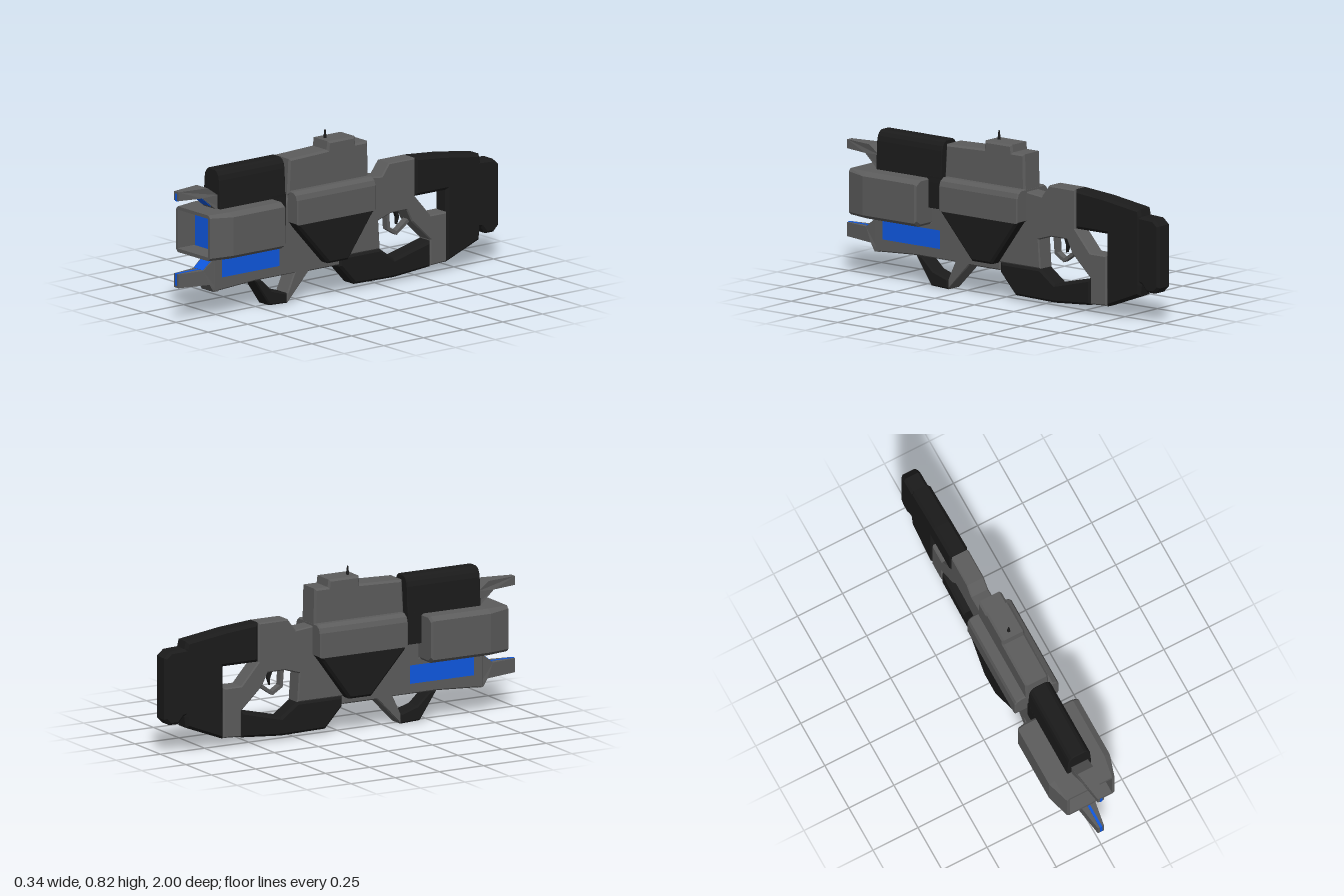
import * as THREE from 'three';

const mat = (color) => new THREE.MeshStandardMaterial({ color, flatShading: true });
const GREY = mat(0x5c5c5c), BLACK = mat(0x1b1b1b), BLUE = mat(0x0f58e0);

// Polygon from [a, b] pairs
const poly = (pts, Type = THREE.Shape) => new Type(pts.map(([a, b]) => new THREE.Vector2(a, b)));

// Side profile of [z, y] points, extruded across x from x0 to x1 with a bevel
function slab(pts, x0, x1, bevel = 0, holes = []) {
  const shape = poly(pts);
  shape.holes = holes.map((h) => poly(h, THREE.Path));
  const g = new THREE.ExtrudeGeometry(shape, {
    depth: x1 - x0 - 2 * bevel, bevelEnabled: bevel > 0, bevelSegments: 1,
    bevelSize: bevel, bevelThickness: bevel, bevelOffset: -bevel,
  });
  g.translate(0, 0, bevel - x1);
  return g.rotateY(-Math.PI / 2);
}

// Front section of [x, y] points, extruded along z
function run(pts, z0, z1, bevel = 0) {
  const g = new THREE.ExtrudeGeometry(poly(pts), {
    depth: z1 - z0 - 2 * bevel, bevelEnabled: bevel > 0, bevelSegments: 1,
    bevelSize: bevel, bevelThickness: bevel, bevelOffset: -bevel,
  });
  return g.translate(0, 0, z0 + bevel);
}

// Skin over chamfered rectangles: [z, halfWidth, yMin, yMax, chamferX, chamferY]
function loft(sections) {
  const rings = sections.map(([z, w, a, b, cx, cy]) => [
    [w, a + cy, z], [w, b - cy, z], [w - cx, b, z], [cx - w, b, z],
    [-w, b - cy, z], [-w, a + cy, z], [cx - w, a, z], [w - cx, a, z]]);
  const pos = [];
  for (let s = 0; s + 1 < rings.length; s++) {
    for (let i = 0; i < 8; i++) {
      const j = (i + 1) % 8, [p, q] = [rings[s], rings[s + 1]];
      pos.push(...p[i], ...p[j], ...q[j], ...p[i], ...q[j], ...q[i]);
    }
  }
  const g = new THREE.BufferGeometry();
  g.setAttribute('position', new THREE.Float32BufferAttribute(pos, 3));
  g.computeVertexNormals();
  return g;
}

// Narrow a part in x towards the muzzle
function taper(g) {
  const p = g.attributes.position;
  for (let i = 0; i < p.count; i++) {
    const t = THREE.MathUtils.clamp((p.getZ(i) - 0.82) / 0.18, 0, 1);
    p.setX(i, p.getX(i) * (1 - 0.64 * t));
  }
  g.computeVertexNormals();
  return g;
}

function box(w, h, d, x, y, z) {
  return new THREE.BoxGeometry(w, h, d).translate(x, y, z);
}

export function createModel() {
  const group = new THREE.Group();
  const add = (name, geometry, material) => {
    const m = new THREE.Mesh(geometry, material);
    m.name = name;
    group.add(m);
  };

  // Main frame with side window, front strut and rear grip
  add('frame', slab([
    [0.80, 0.13], [0.54, 0.145], [0.29, 0.145], [0.335, 0.05], [0.335, 0], [0.2, 0.14],
    [0.005, 0.14], [0.005, 0.18], [-0.25, 0.18], [-0.24, 0.325], [-0.32, 0.35],
    [-0.417, 0.35], [-0.45, 0.285], [-0.567, 0.175], [-0.567, 0.045], [-0.668, 0.05],
    [-0.668, 0.30], [-0.567, 0.30], [-0.47, 0.41], [-0.47, 0.605], [-0.305, 0.605],
    [-0.26, 0.545], [-0.165, 0.555], [0.33, 0.555], [0.38, 0.40], [0.44, 0.40],
    [0.44, 0.325], [0.80, 0.325],
  ], -0.047, 0.047, 0.006, [[[0.755, 0.19], [0.38, 0.19], [0.38, 0.295], [0.755, 0.295]]]), GREY);
  add('sideWindow', box(0.07, 0.12, 0.39, 0, 0.243, 0.568), BLUE);

  // Front hand loop, lower guard, stock and butt pad
  add('frontGrip', slab([[0.54, 0.145], [0.445, 0.005], [0.335, 0], [0.335, 0.05],
    [0.43, 0.08], [0.5, 0.145]], -0.046, 0.046, 0.008), BLACK);
  add('lowerGuard', slab([[0.005, 0.18], [-0.25, 0.18], [-0.34, 0.115], [-0.567, 0.17],
    [-0.567, 0.04], [-0.34, 0.022], [-0.09, 0.027], [0.005, 0.13]], -0.049, 0.049, 0.012), BLACK);
  add('stock', slab([[-0.47, 0.607], [-0.65, 0.592], [-0.877, 0.56], [-0.885, 0.525],
    [-0.885, 0.18], [-0.877, 0.125], [-0.668, 0.045], [-0.668, 0.41], [-0.47, 0.41]],
  -0.049, 0.049, 0.015), BLACK);
  add('buttPad', slab([[-0.86, 0.525], [-0.965, 0.52], [-1, 0.49], [-1, 0.18],
    [-0.97, 0.15], [-0.92, 0.15], [-0.89, 0.185], [-0.86, 0.19]], -0.046, 0.046, 0.012), BLACK);

  // Trigger and its guard
  add('triggerGuard', slab([[-0.31, 0.36], [-0.318, 0.26], [-0.375, 0.225], [-0.455, 0.28],
    [-0.445, 0.295], [-0.376, 0.244], [-0.334, 0.27], [-0.328, 0.36]], -0.018, 0.018), GREY);
  add('trigger', slab([[-0.365, 0.36], [-0.385, 0.31], [-0.385, 0.275], [-0.397, 0.31],
    [-0.39, 0.36]], -0.01, 0.01), BLACK);

  // Upper receiver housing with raised sight block and aerial
  add('receiver', slab([[0.345, 0.55], [0.335, 0.73], [0.095, 0.738], [0.09, 0.78],
    [-0.08, 0.78], [-0.085, 0.743], [-0.16, 0.743], [-0.165, 0.55]], -0.063, 0.063, 0.01), GREY);
  add('aerial', new THREE.CylinderGeometry(0.003, 0.009, 0.05, 8).translate(-0.008, 0.8, 0.055), BLACK);

  // Side housings, with tapered black panels below
  add('sideHousing', run([[-0.122, 0.405], [0.122, 0.405], [0.122, 0.53], [0.113, 0.555],
    [0.09, 0.57], [-0.09, 0.57], [-0.113, 0.555], [-0.122, 0.53]], -0.165, 0.333, 0.006), GREY);
  for (const s of [1, -1]) {
    const [a, b] = s > 0 ? [0.045, 0.118] : [-0.118, -0.045];
    add(s > 0 ? 'leftPanel' : 'rightPanel', slab([[0.333, 0.41], [0.315, 0.385], [0.13, 0.18],
      [0.005, 0.18], [-0.145, 0.385], [-0.165, 0.41]], a, b, 0.012), BLACK);
  }

  // Rounded black barrel cover
  const half = [[0.068, 0.53], [0.06, 0.69], [0.054, 0.715], [0.042, 0.733], [0.027, 0.742]];
  const cover = [...half, ...half.map(([x, y]) => [-x, y]).reverse()];
  add('barrelCover', run(cover, 0.362, 0.775, 0.004), BLACK);
  add('coverBase', box(0.134, 0.16, 0.09, 0, 0.48, 0.407), BLACK);

  // Hollow muzzle shroud with glowing back wall
  add('muzzleShroud', loft([
    [0.44, 0, 0.43, 0.43, 0, 0],
    [0.44, 0.16, 0.325, 0.54, 0.03, 0.02],
    [0.45, 0.168, 0.313, 0.548, 0.03, 0.02],
    [0.775, 0.168, 0.313, 0.548, 0.03, 0.02],
    [0.893, 0.132, 0.315, 0.546, 0.014, 0.014],
    [0.893, 0.117, 0.333, 0.529, 0.002, 0.002],
    [0.78, 0.117, 0.333, 0.529, 0.002, 0.002],
  ]), GREY);
  add('muzzleCore', box(0.234, 0.196, 0.01, 0, 0.431, 0.78), BLUE);

  // Tapered prongs above and below the muzzle, each with a lit ramp and slot
  add('lowerProng', taper(slab([[0.77, 0.13], [0.80, 0.13], [0.825, 0.17], [0.998, 0.175],
    [0.998, 0.245], [0.86, 0.245], [0.785, 0.305], [0.77, 0.305]], -0.046, 0.046)), GREY);
  add('lowerRamp', slab([[0.86, 0.248], [0.805, 0.292], [0.79, 0.29], [0.85, 0.24]], -0.035, 0.035), BLUE);
  add('lowerSlot', box(0.013, 0.062, 0.15, 0, 0.216, 0.925), BLUE);
  add('upperProng', taper(slab([[0.75, 0.545], [0.785, 0.545], [0.865, 0.612], [0.998, 0.615],
    [0.998, 0.66], [0.835, 0.66], [0.775, 0.617], [0.75, 0.617]], -0.046, 0.046)), GREY);
  add('upperRamp', slab([[0.865, 0.61], [0.808, 0.561], [0.795, 0.565], [0.855, 0.616]], -0.035, 0.035), BLUE);
  add('upperSlot', box(0.013, 0.038, 0.15, 0, 0.631, 0.925), BLUE);

  return group;
}
